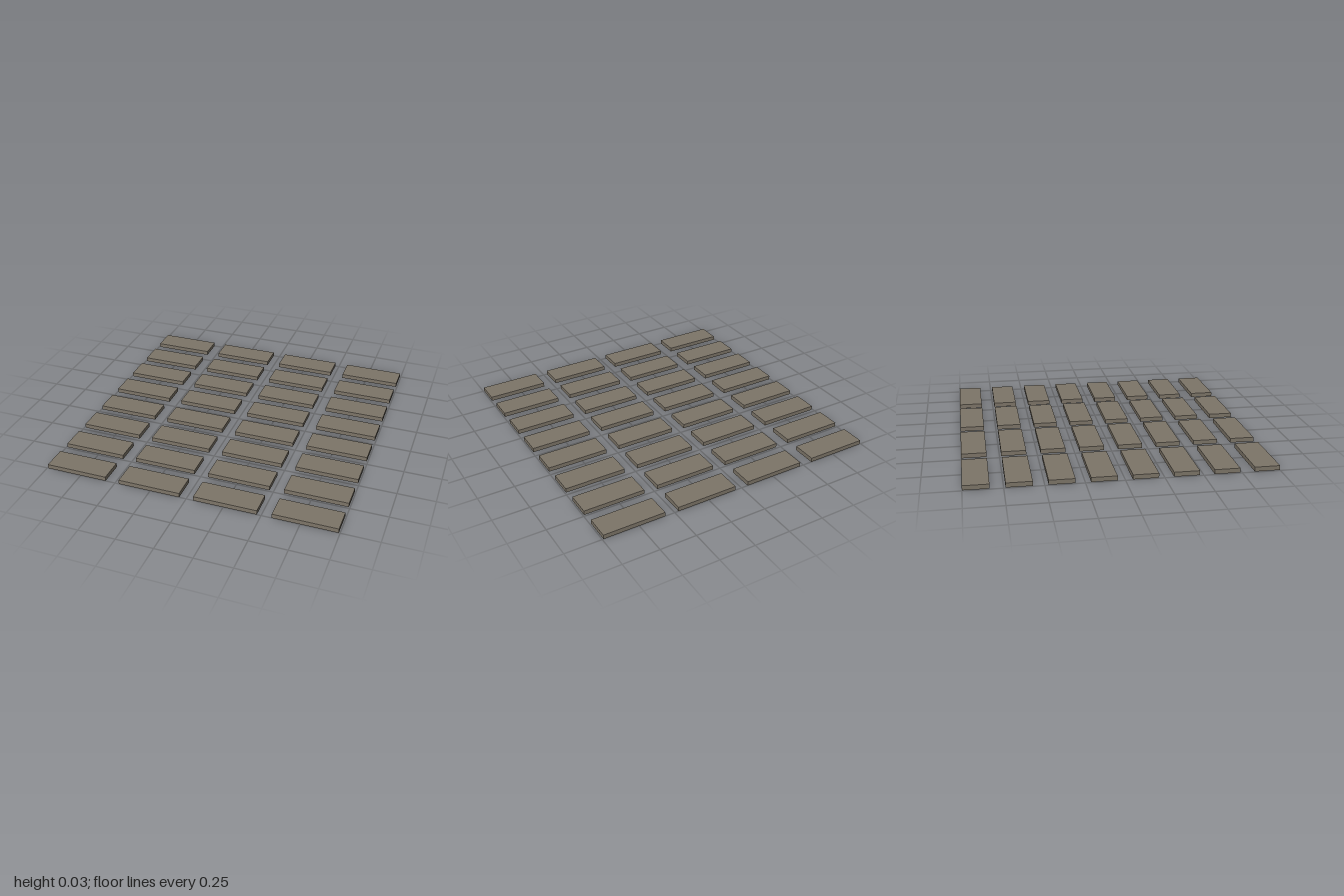
import * as THREE from 'three';

const COLUMNS = 4, ROWS = 8;
const WIDTH = 0.424, HEIGHT = 0.03, DEPTH = 0.166;
const GAP = 0.096;

export function createModel() {
  const model = new THREE.Group();
  model.name = 'slabGrid';

  const stone = new THREE.MeshStandardMaterial({ color: 0x7d7568 });
  stone.name = 'warm grey stone';
  const slabGeometry = new THREE.BoxGeometry(WIDTH, HEIGHT, DEPTH);

  // Evenly spaced rows of flat rectangular slabs
  for (let row = 0; row < ROWS; row++) {
    const rowGroup = new THREE.Group();
    rowGroup.name = `slabRow${row + 1}`;
    rowGroup.position.z = (row - (ROWS - 1) / 2) * (DEPTH + GAP);
    for (let column = 0; column < COLUMNS; column++) {
      const slab = new THREE.Mesh(slabGeometry, stone);
      slab.name = `slab${column + 1}`;
      slab.position.set((column - (COLUMNS - 1) / 2) * (WIDTH + GAP), HEIGHT / 2, 0);
      rowGroup.add(slab);
    }
    model.add(rowGroup);
  }
  return model;
}
